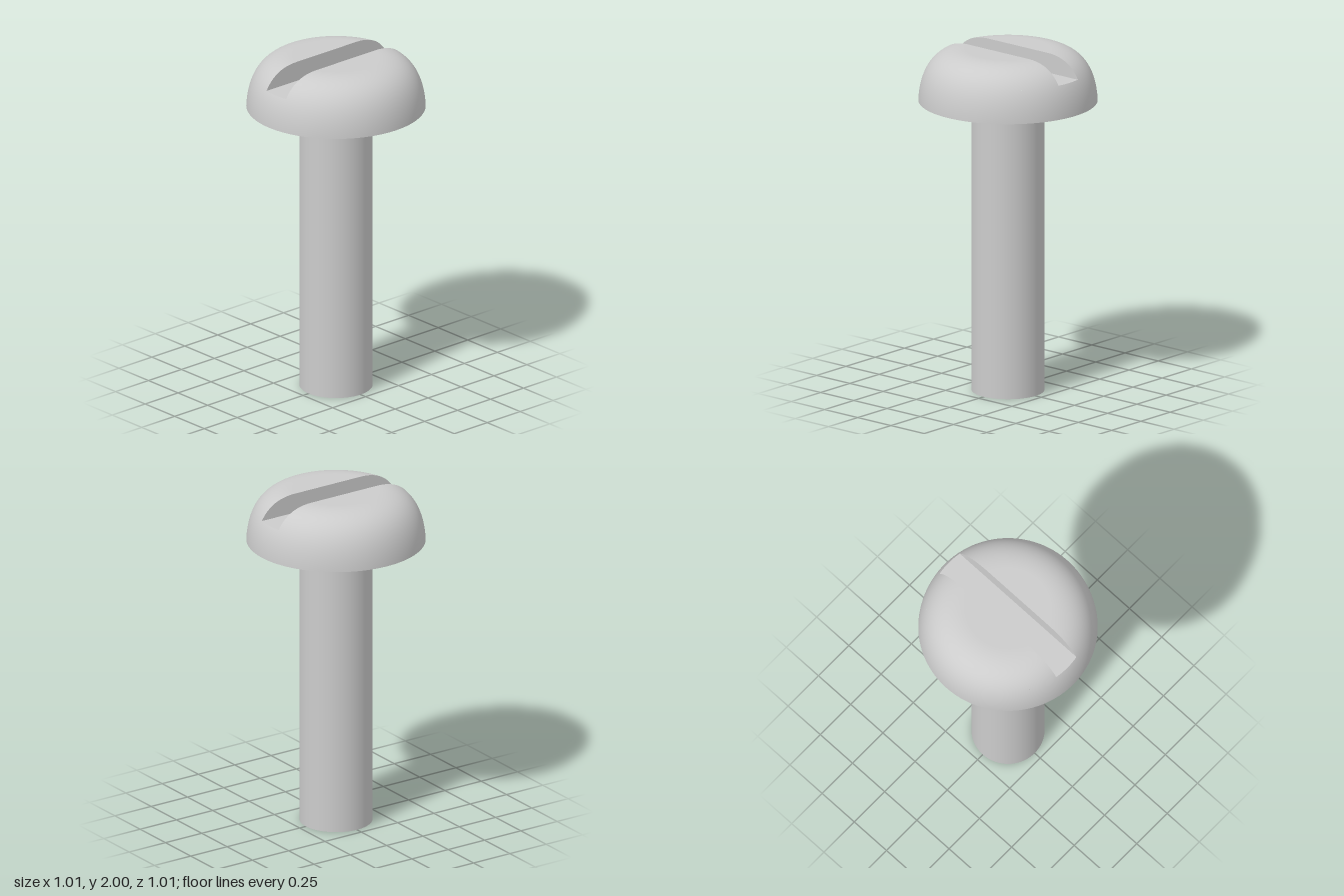
import * as THREE from 'three';

const HEAD_R = 0.507, HEAD_Y = 1.7, TOP_Y = 2, SHAFT_R = 0.207;
const SLOT_W = 0.083, SLOT_Y = 1.885; // half width and floor height of the slot

// Dome profile as (radius, height), from the rim up to the flat top
const dome = new THREE.QuadraticBezierCurve(
  new THREE.Vector2(HEAD_R, HEAD_Y), new THREE.Vector2(0.49, TOP_Y), new THREE.Vector2(0.24, TOP_Y));
const SLOT_T = 1 - Math.sqrt((TOP_Y - SLOT_Y) / (TOP_Y - HEAD_Y));

// Rows of { r, y, normal } along part of the dome
function domeRows(t0, t1, n) {
  return Array.from({ length: n + 1 }, (_, i) => {
    const t = t0 + (t1 - t0) * i / n;
    const p = dome.getPoint(t), d = dome.getTangent(t);
    return { r: p.x, y: p.y, nr: d.y, ny: -d.x };
  });
}

// Revolves rows; range(r) gives the start and end angle of each row
function revolve(rows, segments, range) {
  const pos = [], nor = [], idx = [];
  rows.forEach(({ r, y, nr, ny }, i) => {
    const [a0, a1] = range(r);
    for (let j = 0; j <= segments; j++) {
      const a = a0 + (a1 - a0) * j / segments, c = Math.cos(a), s = Math.sin(a);
      pos.push(r * c, y, r * s);
      nor.push(nr * c, ny, nr * s);
      if (i && j) {
        const q = i * (segments + 1) + j, p = q - segments - 1;
        idx.push(p - 1, q - 1, p, q - 1, q, p);
      }
    }
  });
  const g = new THREE.BufferGeometry();
  g.setAttribute('position', new THREE.Float32BufferAttribute(pos, 3));
  g.setAttribute('normal', new THREE.Float32BufferAttribute(nor, 3));
  g.setIndex(idx);
  return g;
}

export function createModel() {
  const model = new THREE.Group();
  const material = new THREE.MeshStandardMaterial({ color: 0xcccccc });
  const add = (parent, name, geometry) => {
    const mesh = new THREE.Mesh(geometry, material);
    mesh.name = name;
    parent.add(mesh);
    return mesh;
  };

  // Plain round shaft
  add(model, 'shaft', new THREE.CylinderGeometry(SHAFT_R, SHAFT_R, HEAD_Y, 96)).position.y = HEAD_Y / 2;

  const head = new THREE.Group();
  head.name = 'head';
  model.add(head);

  // Flat underside and the skirt below the slot
  const under = add(head, 'headUnderside', new THREE.RingGeometry(SHAFT_R, HEAD_R, 128));
  under.rotation.x = Math.PI / 2;
  under.position.y = HEAD_Y;
  add(head, 'headSkirt', revolve(domeRows(0, SLOT_T, 14), 128, () => [0, 2 * Math.PI]));

  // Two crown halves, one on each side of the slot, with the slot walls
  const crownRows = domeRows(SLOT_T, 1, 20);
  const topRows = [0.24, 0.18, 0.13, 0.1, SLOT_W].map(r => ({ r, y: TOP_Y, nr: 0, ny: 1 }));
  const edge = r => { const a = Math.asin(Math.min(1, SLOT_W / r)); return [a, Math.PI - a]; };
  const side = crownRows.map(({ r, y }) => new THREE.Vector2(Math.sqrt(r * r - SLOT_W * SLOT_W), y));
  const wallShape = new THREE.Shape([
    ...side, ...side.map(p => new THREE.Vector2(-p.x, p.y)).reverse()]);
  for (const turn of [0, Math.PI]) {
    const half = new THREE.Group();
    half.name = turn ? 'backCrown' : 'frontCrown';
    half.rotation.y = turn;
    head.add(half);
    add(half, 'crownDome', revolve(crownRows, 64, edge));
    add(half, 'crownTop', revolve(topRows, 64, edge));
    const wall = add(half, 'slotWall', new THREE.ShapeGeometry(wallShape));
    wall.rotation.y = Math.PI;
    wall.position.z = SLOT_W;
  }

  // Slot floor with ends following the dome
  const floorR = crownRows[0].r, b = Math.asin(SLOT_W / floorR);
  const floorShape = new THREE.Shape();
  floorShape.absarc(0, 0, floorR, -b, b, false);
  floorShape.absarc(0, 0, floorR, Math.PI - b, Math.PI + b, false);
  const floor = add(head, 'slotFloor', new THREE.ShapeGeometry(floorShape, 12));
  floor.rotation.x = -Math.PI / 2;
  floor.position.y = SLOT_Y;

  return model;
}
